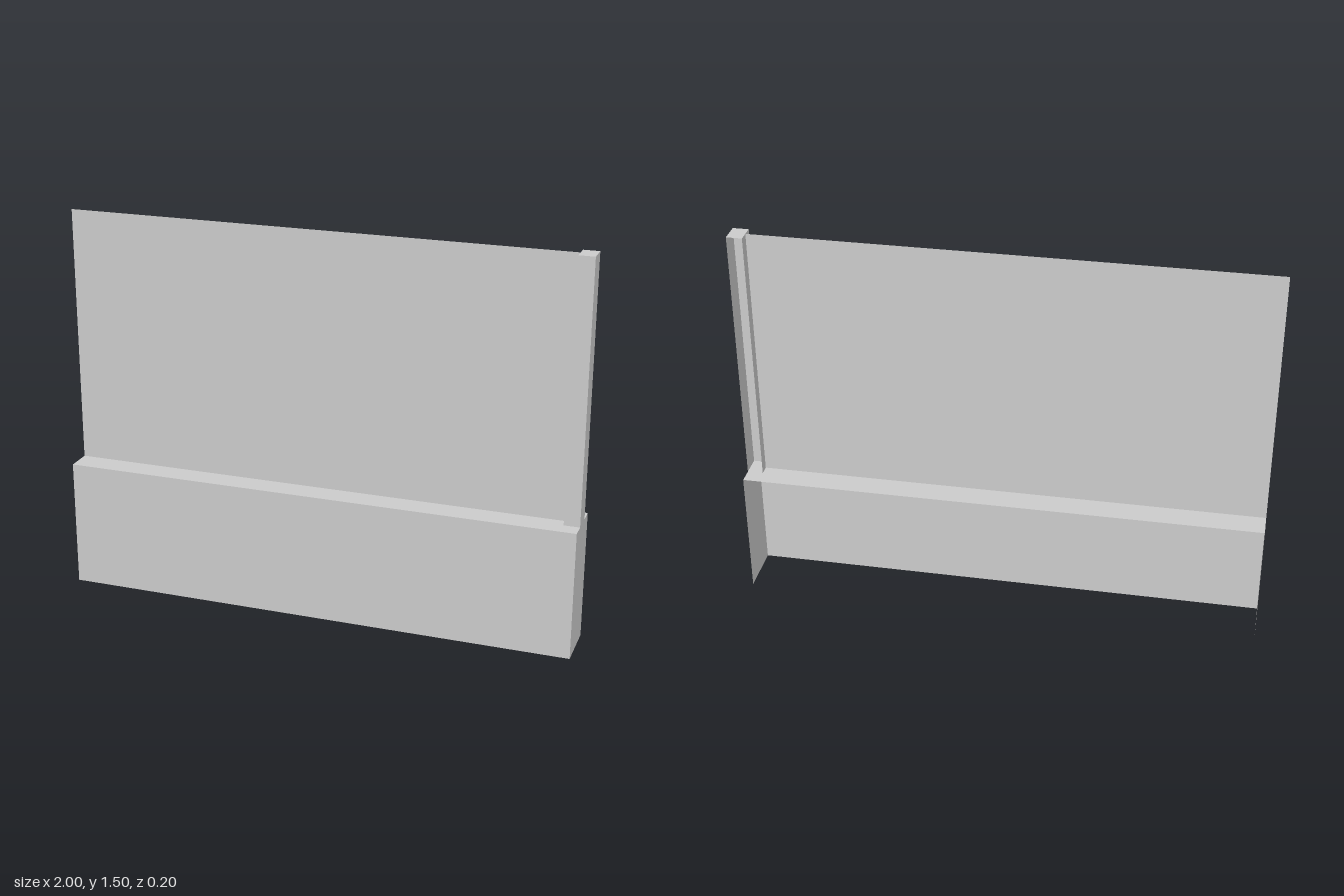
import * as THREE from 'three';

const material = new THREE.MeshStandardMaterial({ color: 0xcccccc, side: THREE.DoubleSide, flatShading: true });

function sheet(name, width, height, position, rotation = [0, 0, 0]) {
  const mesh = new THREE.Mesh(new THREE.PlaneGeometry(width, height), material);
  mesh.name = name;
  mesh.position.set(...position);
  mesh.rotation.set(...rotation);
  return mesh;
}

// Thin shell with a front, two ends and a top; open at the back and underneath
function openShell(name, x0, x1, y0, y1, depth) {
  const group = new THREE.Group();
  group.name = name;
  const w = x1 - x0, h = y1 - y0, cx = (x0 + x1) / 2, cy = (y0 + y1) / 2;
  group.add(
    sheet(name + 'Front', w, h, [cx, cy, depth / 2]),
    sheet(name + 'Top', w, depth, [cx, y1, 0], [-Math.PI / 2, 0, 0]),
    sheet(name + 'LeftEnd', depth, h, [x1, cy, 0], [0, Math.PI / 2, 0]),
    sheet(name + 'RightEnd', depth, h, [x0, cy, 0], [0, -Math.PI / 2, 0])
  );
  return group;
}

export function createModel() {
  const model = new THREE.Group();
  model.name = 'wallWithPanel';
  const baseTop = 0.5, top = 1.5, postInner = 0.94;

  // Low base wall
  model.add(openShell('baseWall', -1, 1, 0, baseTop, 0.2));

  // Upright post at the left end
  model.add(openShell('post', postInner, 1, baseTop, top, 0.08));

  // Thin panel on the centre line, running up to the post
  model.add(sheet('panel', postInner + 1, top - baseTop, [(postInner - 1) / 2, (baseTop + top) / 2, 0]));

  return model;
}
